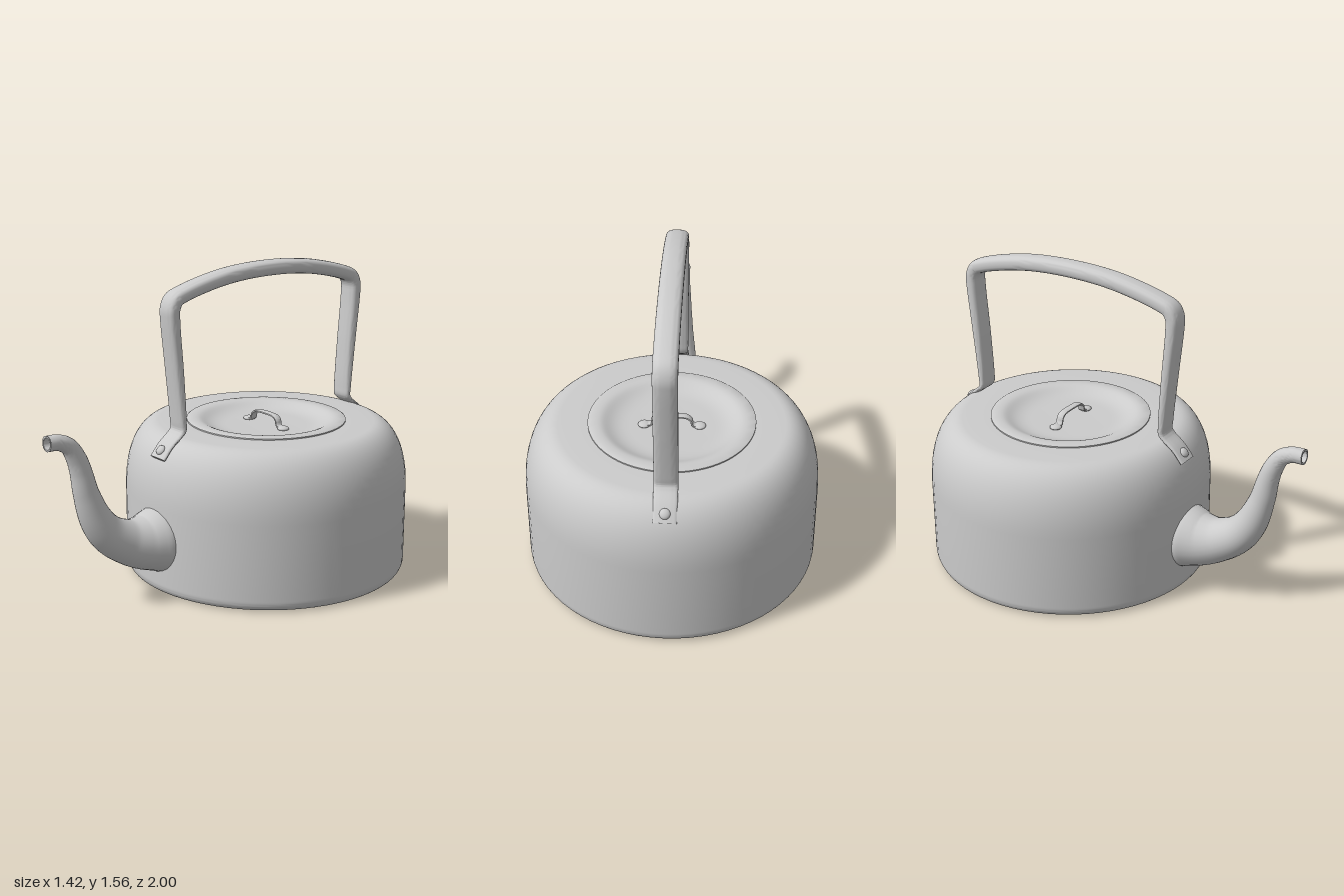
import * as THREE from 'three';
import { toCreasedNormals } from 'three/addons/utils/BufferGeometryUtils.js';

const material = new THREE.MeshStandardMaterial({ color: 0xcccccc, side: THREE.DoubleSide });
const CENTRE = -0.29; // z of the body's axis

function add(parent, name, geometry, x = 0, y = 0, z = 0) {
  const mesh = new THREE.Mesh(geometry, material);
  mesh.name = name;
  mesh.position.set(x, y, z);
  parent.add(mesh);
  return mesh;
}

// Sweeps a superellipse along stations [z, y, half thickness, half width] in the z-y plane.
// power 1 is round, smaller is boxier.
function sweep(stations, { steps = 64, sides = 28, power = 1, capped = true } = {}) {
  const curve = new THREE.CatmullRomCurve3(stations.map(([z, y]) => new THREE.Vector3(0, y, z)));
  const squash = (v) => Math.sign(v) * Math.abs(v) ** power;
  const pos = [], index = [];
  for (let i = 0; i <= steps; i++) {
    const t = i / steps, f = t * (stations.length - 1);
    const k = Math.min(Math.floor(f), stations.length - 2);
    const size = (c) => THREE.MathUtils.lerp(stations[k][c], stations[k + 1][c], f - k);
    const p = curve.getPoint(t), d = curve.getTangent(t);
    for (let j = 0; j < sides; j++) {
      const a = (j / sides) * Math.PI * 2;
      const n = squash(Math.sin(a)) * size(2);
      pos.push(squash(Math.cos(a)) * size(3), p.y + d.z * n, p.z - d.y * n);
      if (i < steps) {
        const q = i * sides + j, r = i * sides + ((j + 1) % sides);
        index.push(q, r, r + sides, q, r + sides, q + sides);
      }
    }
  }
  if (capped) {
    const last = steps * sides;
    for (let j = 1; j < sides - 1; j++) index.push(0, j + 1, j, last, last + j, last + j + 1);
  }
  const g = new THREE.BufferGeometry();
  g.setAttribute('position', new THREE.Float32BufferAttribute(pos, 3));
  g.setIndex(index);
  g.computeVertexNormals();
  return toCreasedNormals(g, 0.8);
}

export function createModel() {
  const model = new THREE.Group();
  model.name = 'kettle';

  // Body: flat base, straight wall, rounded shoulder
  const wall = new THREE.Path();
  wall.moveTo(0, 0);
  wall.lineTo(0.66, 0);
  wall.bezierCurveTo(0.69, 0, 0.71, 0.015, 0.71, 0.055);
  wall.lineTo(0.71, 0.43);
  wall.bezierCurveTo(0.71, 0.64, 0.63, 0.755, 0.54, 0.755);
  wall.lineTo(0.39, 0.755);
  add(model, 'body', toCreasedNormals(new THREE.LatheGeometry(wall.getPoints(14), 72), 0.7), 0, 0, CENTRE);

  // Lid: thin raised rim around a shallow dish
  const lid = new THREE.Path();
  lid.moveTo(0.4, 0.75);
  lid.lineTo(0.4, 0.761);
  lid.lineTo(0.395, 0.764);
  lid.lineTo(0.355, 0.764);
  lid.bezierCurveTo(0.31, 0.764, 0.3, 0.725, 0.2, 0.725);
  lid.lineTo(0, 0.725);
  add(model, 'lid', toCreasedNormals(new THREE.LatheGeometry(lid.getPoints(10), 72), 0.7), 0, 0, CENTRE);

  // Lid handle: small strap arch on two round feet
  const lidHandle = new THREE.Group();
  lidHandle.name = 'lidHandle';
  lidHandle.position.z = CENTRE;
  model.add(lidHandle);
  const halfArch = [[0.13, 0.733], [0.1, 0.737], [0.09, 0.765], [0.07, 0.78], [0.03, 0.784]];
  const arch = [...halfArch, ...halfArch.map(([u, y]) => [-u, y]).reverse()];
  add(lidHandle, 'lidHandleArch',
    sweep(arch.map(([u, y]) => [u, y, 0.006, 0.019]), { sides: 16, power: 0.6 })).rotation.y = Math.PI / 2;
  for (const side of [-1, 1]) {
    add(lidHandle, 'lidHandleFoot', new THREE.SphereGeometry(0.03, 20, 12), side * 0.132, 0.73, 0).scale.y = 0.4;
  }

  // Spout: tapering S-curve with a hollow tip
  const spout = [
    [0.37, 0.268, 0.16], [0.42, 0.27, 0.157], [0.5, 0.275, 0.13], [0.585, 0.3, 0.107],
    [0.68, 0.36, 0.092], [0.745, 0.445, 0.079], [0.797, 0.58, 0.061], [0.822, 0.69, 0.052],
    [0.845, 0.76, 0.047], [0.885, 0.825, 0.04], [0.94, 0.853, 0.037], [0.998, 0.857, 0.037],
  ].map(([z, y, r]) => [z, y, r, r]);
  const bore = spout.slice(-6).map(([z, y, r]) => [z, y, r - 0.009, r - 0.009]);
  add(model, 'spout', sweep(spout, { steps: 72, capped: false }));
  add(model, 'spoutBore', sweep(bore, { steps: 30, capped: false }));
  add(model, 'spoutLip', new THREE.RingGeometry(0.028, 0.037, 28), 0, 0.857, 0.998);

  // Carrying handle: thick grip and posts, flattening into tabs on the shoulder
  const halfHandle = [
    [0.665, 0.672, 0.011], [0.615, 0.73, 0.011], [0.56, 0.773, 0.013], [0.541, 0.795, 0.018],
    [0.541, 0.84, 0.021], [0.56, 1.08, 0.029], [0.583, 1.33, 0.034], [0.583, 1.385, 0.035],
    [0.563, 1.425, 0.036], [0.515, 1.447, 0.036], [0.27, 1.502, 0.037],
  ];
  const handlePath = [...halfHandle, [0, 1.519, 0.037], ...halfHandle.map(([u, y, h]) => [-u, y, h]).reverse()];
  const handle = new THREE.Group();
  handle.name = 'handle';
  handle.position.z = -0.277;
  model.add(handle);
  add(handle, 'handleBar', sweep(handlePath.map(([u, y, h]) => [u, y, h, 0.055]), { steps: 132, power: 0.7 }));
  for (const side of [-1, 1]) {
    const rivet = add(handle, 'handleRivet', new THREE.SphereGeometry(0.025, 20, 12), 0, 0.711, side * 0.647);
    rivet.scale.y = 0.6;
    rivet.rotation.x = side * 0.86;
  }
  return model;
}
